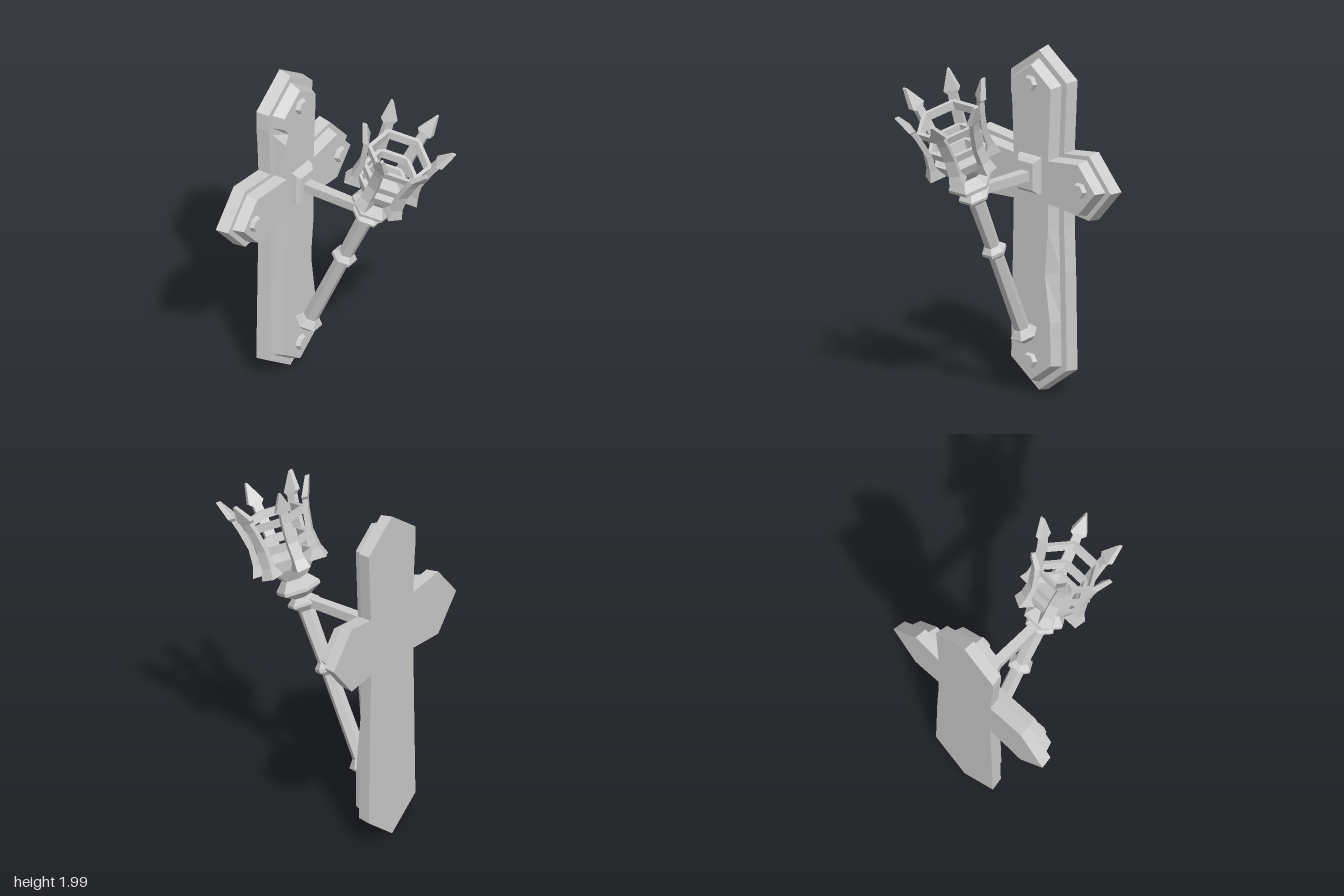
import * as THREE from 'three';

const mat = new THREE.MeshStandardMaterial({ color: 0xcccccc, flatShading: true });
const CX = 0.025; // centre line of shaft and torch

function add(parent, name, geo, x = 0, y = 0, z = 0) {
  const m = new THREE.Mesh(geo, mat);
  m.name = name;
  m.position.set(x, y, z);
  parent.add(m);
  return m;
}

// Solid through counter-clockwise xy loops, each at its own z, capped at both ends
function loft(sections) {
  const n = sections[0].loop.length, pos = [], idx = [];
  for (const { loop, z } of sections) for (const [x, y] of loop) pos.push(x, y, z);
  for (let s = 0; s < sections.length - 1; s++) {
    for (let i = 0; i < n; i++) {
      const a = s * n + i, b = s * n + (i + 1) % n;
      idx.push(a, b, b + n, a, b + n, a + n);
    }
  }
  const caps = (loop) => THREE.ShapeUtils.triangulateShape(loop.map(([x, y]) => new THREE.Vector2(x, y)), []);
  const last = (sections.length - 1) * n;
  for (const [a, b, c] of caps(sections[0].loop)) idx.push(a, c, b);
  for (const [a, b, c] of caps(sections[sections.length - 1].loop)) idx.push(last + a, last + b, last + c);
  const g = new THREE.BufferGeometry();
  g.setAttribute('position', new THREE.Float32BufferAttribute(pos, 3));
  g.setIndex(idx);
  const flat = g.toNonIndexed();
  flat.computeVertexNormals();
  return flat;
}

const rect = (x0, x1, y0, y1) => [[x0, y0], [x1, y0], [x1, y1], [x0, y1]];

// Cross outline with pointed ends, inset by d; chip cuts into two edges
function crossLoop(d, chip = 0) {
  const w = 0.22 - d, j = 0.2 - d, e = d * 0.7;
  return [
    [CX, 0.01 + d * 1.2], [CX + w, 0.17 + d * 0.5],
    [CX + w - 0.005, 0.45], [CX + w - 0.01 - chip, 0.73], [CX + j, 0.99],
    [CX + j, 1.09 + e], [0.405 - d * 0.4, 1.07 + e], [0.575 - d, 1.265],
    [0.405 - d * 0.4, 1.46 - e], [CX + j, 1.435 - e],
    [CX + w, 1.84 - d * 0.5], [CX, 2 - d * 1.2], [CX - w, 1.84 - d * 0.5],
    [CX - w, 1.73], [CX - w + 0.005 + chip, 1.68], [CX - w + 0.01, 1.62],
    [CX - j, 1.435 - e], [-0.41 + d * 0.4, 1.46 - e], [-0.58 + d, 1.265],
    [-0.41 + d * 0.4, 1.07 + e], [CX - j, 1.085 + e], [CX - w, 0.17 + d * 0.5],
  ];
}

// Six-sided turned part; profile is [radius, height], corners on the x axis
function hexLathe(profile) {
  const pts = profile.map(([r, y]) => new THREE.Vector2(r, y));
  return new THREE.LatheGeometry(pts, 6, Math.PI / 6);
}

const hexRing = (r0, y0, r1, y1, t) =>
  hexLathe([[r0 - t, y0], [r0, y0], [r1, y1], [r1 - t, y1], [r0 - t, y0]]);

function createModel() {
  const model = new THREE.Group();
  model.name = 'wallTorch';

  // Two-layer wall plate
  add(model, 'backPlate', loft([
    { loop: crossLoop(0), z: -0.55 }, { loop: crossLoop(0.012), z: -0.475 }]));
  add(model, 'frontPlate', loft([
    { loop: crossLoop(0.048), z: -0.48 }, { loop: crossLoop(0.072, 0.035), z: -0.41 }]));

  // Hexagonal bolts
  for (const [x, y] of [[-0.41, 1.267], [0.395, 1.267], [CX, 0.21], [CX, 1.81]]) {
    const bolt = add(model, 'bolt', new THREE.CylinderGeometry(0.038, 0.05, 0.03, 6), x, y, -0.4);
    bolt.rotation.set(Math.PI / 2, Math.PI / 6, 0);
  }

  // Bracket and supporting arm
  add(model, 'bracketPlate', loft([
    { loop: rect(CX - 0.08, CX + 0.08, 1.18, 1.4), z: -0.415 },
    { loop: rect(CX - 0.075, CX + 0.075, 1.19, 1.385), z: -0.385 },
    { loop: rect(CX - 0.055, CX + 0.055, 1.21, 1.365), z: -0.363 }]));
  add(model, 'bracketArm', loft([
    { loop: rect(CX - 0.03, CX + 0.03, 1.26, 1.315), z: -0.37 },
    { loop: rect(CX - 0.026, CX + 0.026, 1.268, 1.32), z: 0.05 }]));

  // Tilted torch: local y runs along its axis
  const torch = new THREE.Group();
  torch.name = 'torch';
  torch.position.set(CX, 0.385, -0.35);
  torch.rotation.x = THREE.MathUtils.degToRad(24.2);
  model.add(torch);

  // Handle with its collars
  add(torch, 'handle', hexLathe([
    [0, -0.045], [0.045, -0.045], [0.08, -0.005], [0.05, 0.035], [0.045, 0.04],
    [0.043, 0.545], [0.072, 0.57], [0.072, 0.59], [0.043, 0.62],
    [0.048, 0.93], [0.093, 0.965], [0.093, 0.98], [0.056, 1.01],
    [0.127, 1.05], [0.127, 1.07], [0.075, 1.125], [0, 1.125]]));

  // Hollow bowl and cage rings
  add(torch, 'bowl', hexLathe([
    [0, 1.12], [0.075, 1.12], [0.14, 1.195], [0.158, 1.255],
    [0.138, 1.255], [0.12, 1.2], [0, 1.2]]));
  add(torch, 'lowerRing', hexRing(0.16, 1.31, 0.168, 1.355, 0.025));
  add(torch, 'upperRing', hexRing(0.18, 1.455, 0.19, 1.5, 0.025));

  // Six flared bars with spear tips: [height, outer radius, thickness, half width]
  const stations = [
    [1.19, 0.215, 0.095, 0.042], [1.215, 0.207, 0.07, 0.038], [1.25, 0.195, 0.04, 0.032],
    [1.35, 0.186, 0.032, 0.03], [1.47, 0.208, 0.032, 0.028], [1.53, 0.225, 0.032, 0.025],
    [1.55, 0.234, 0.036, 0.046], [1.655, 0.275, 0.025, 0.005]];
  const bar = loft(stations.map(([h, r, t, w]) => ({ loop: rect(r - t, r, -w, w), z: h })));
  bar.rotateX(-Math.PI / 2);
  for (let i = 0; i < 6; i++) {
    add(torch, 'cageBar', bar).rotation.y = i * Math.PI / 3;
  }

  return model;
}

export { createModel };
